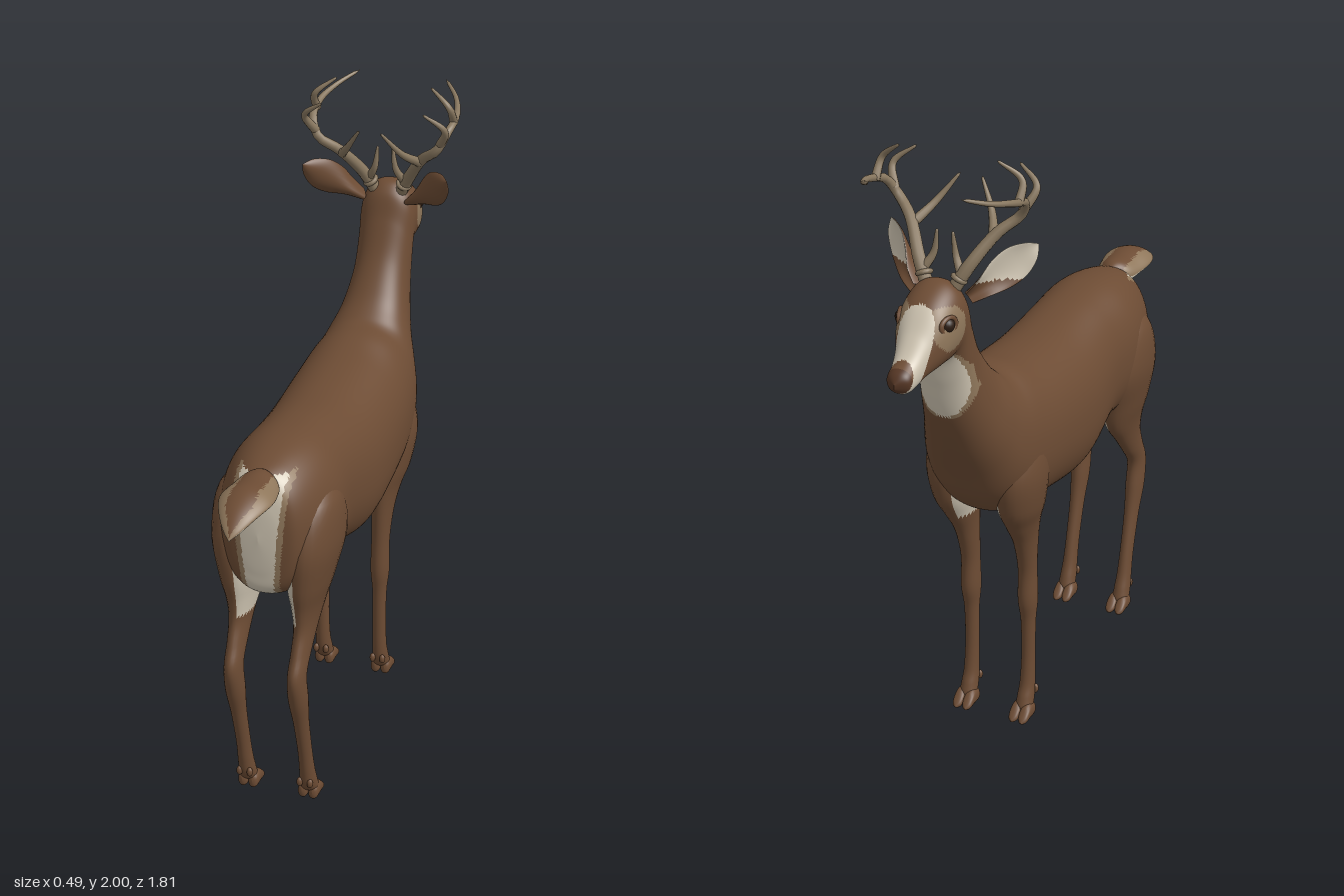
import * as THREE from 'three';

const mat = (name, color) => Object.assign(new THREE.MeshStandardMaterial({ color }), { name });
const V = (x, y, z) => new THREE.Vector3(x, y, z);

// Smooth interpolation through rows of numbers
function smoothRows(rows, n) {
  const out = [], last = rows.length - 1;
  for (let i = 0; i <= n; i++) {
    const f = (i / n) * last, k = Math.min(Math.floor(f), last - 1), t = f - k;
    const a = rows[Math.max(k - 1, 0)], b = rows[k], c = rows[k + 1], d = rows[Math.min(k + 2, last)];
    out.push(b.map((_, j) => 0.5 * (2 * b[j] + (c[j] - a[j]) * t +
      (2 * a[j] - 5 * b[j] + 4 * c[j] - d[j]) * t * t + (3 * b[j] - a[j] - 3 * c[j] + d[j]) * t ** 3)));
  }
  return out;
}

// Skin over closed rings of points; rule(centre, normal) picks the material of each face
function skin(name, rings, mats, rule = () => 0) {
  const m = rings[0].length, pts = rings.flat(), tris = [];
  for (let i = 0; i < rings.length - 1; i++) for (let j = 0; j < m; j++) {
    const a = i * m + j, b = i * m + (j + 1) % m;
    tris.push([a, b, b + m], [a, b + m, a + m]);
  }
  const cross = V(0, 0, 0);
  let volume = 0;
  for (const [a, b, c] of tris) volume += pts[a].dot(cross.crossVectors(pts[b], pts[c]));
  const bins = mats.map(() => []);
  for (const [a, b, c] of tris) {
    const t = volume > 0 ? [a, b, c] : [a, c, b];
    const [A, B, C] = t.map((k) => pts[k]);
    const n = B.clone().sub(A).cross(C.clone().sub(A));
    if (n.lengthSq() < 1e-18) continue;
    bins[rule(A.clone().add(B).add(C).divideScalar(3), n.normalize())].push(...t);
  }
  const geo = new THREE.BufferGeometry().setFromPoints(pts);
  geo.setIndex(bins.flat());
  let start = 0;
  bins.forEach((b, i) => { if (b.length) geo.addGroup(start, b.length, i); start += b.length; });
  geo.computeVertexNormals();
  const mesh = new THREE.Mesh(geo, mats);
  mesh.name = name;
  return mesh;
}

// Ring from centre and two half-axes; power < 1 squares it, cup bends the rim along v
function ring(c, u, v, m, power = 1, cup = 0) {
  const pw = (a) => Math.sign(a) * Math.abs(a) ** power;
  return Array.from({ length: m }, (_, j) => {
    const a = (j / m) * Math.PI * 2, k = Math.cos(a);
    return c.clone().addScaledVector(u, pw(k)).addScaledVector(v, pw(Math.sin(a)) + cup * k * k);
  });
}

// Rows are [top z, top y, bottom z, bottom y, half width]
const spineRings = (rows, n, m, power = 1, x = 0) => smoothRows(rows, n).map(([zt, yt, zb, yb, w]) =>
  ring(V(x, (yt + yb) / 2, (zt + zb) / 2), V(Math.max(w, 0), 0, 0), V(0, (yt - yb) / 2, (zt - zb) / 2), m, power));

// Rows are [y, x, z, half width, half depth]
const legRings = (rows, s) => smoothRows(rows, 70).map(([y, x, z, rx, rz]) =>
  ring(V(s * x, y, z), V(Math.max(rx, 0), 0, 0), V(0, 0, Math.max(rz, 0)), 28));

function horn(name, points, r0, r1, s, mats) {
  const curve = new THREE.CatmullRomCurve3(points.map(([x, y, z]) => V(s * x, y, z)));
  const n = 28, f = curve.computeFrenetFrames(n);
  const rings = [];
  for (let i = 0; i <= n; i++) {
    const t = i / n, r = i === n ? 0 : r0 + (r1 - r0) * t ** 1.3;
    rings.push(ring(curve.getPointAt(t), f.normals[i].clone().multiplyScalar(r), f.binormals[i].clone().multiplyScalar(r), 10));
  }
  return skin(name, rings, mats);
}

export function createModel() {
  const brown = mat('brown coat', 0x6d4c34), cream = mat('cream fur', 0xcfc5b2), tan = mat('tan fur', 0x8f775b);
  const antler = mat('antler', 0x88775f), dark = mat('dark hoof', 0x3a281c), eyeMat = mat('eye', 0x2c1d14);
  const nose = mat('nose', 0x553624);
  const fur = [brown, cream, tan, nose];
  const model = new THREE.Group();
  model.name = 'deer';

  // Patch test: cream inside, tan rim, otherwise no hit
  const patch = (d, rim) => (d < 0 ? 1 : d < rim ? 2 : 0);
  const bodyRule = (p, n) => {
    const ax = Math.abs(p.x);
    if (p.z < -0.64 && p.y > 1.36) {
      const m = p.z - 0.5 * (p.y - 1.53);
      if (n.y < -0.6 && p.z > -0.87 && p.y < 1.42) return 1;
      if (m < -0.815) return p.z < -0.868 ? 3 : 0;
      if (m < -0.765) return 1;
      if (ax > 0.035 && Math.hypot(p.z + 0.705, p.y - 1.53) < 0.066) return 2;
    }
    if (p.z < -0.52 && p.z > -0.69 && n.z < -0.15) {
      const e = 1 - ((p.y - 1.32) / 0.125) ** 2;
      if (e > 0) return patch(ax - 0.085 * Math.sqrt(e), 0.014);
    }
    if (p.z > 0.5 && p.y < 1.2) return patch(ax - (0.04 + 0.035 * Math.max(0, (p.y - 0.8) / 0.4)), 0.016);
    if (p.z > -0.36 && n.y < 0) return patch(p.y - (p.z > 0.28 ? 0.8 : 0.757), 0.012);
    return 0;
  };

  // Trunk, neck and head as one skin
  model.add(skin('bodyNeckAndHead', spineRings([
    [0.665, 1.01, 0.665, 1.0, 0], [0.657, 1.12, 0.655, 0.88, 0.07], [0.63, 1.195, 0.635, 0.81, 0.12],
    [0.55, 1.228, 0.55, 0.77, 0.162], [0.43, 1.242, 0.43, 0.765, 0.185], [0.28, 1.232, 0.28, 0.765, 0.182],
    [0.07, 1.21, 0.07, 0.705, 0.2], [-0.16, 1.222, -0.17, 0.733, 0.2], [-0.28, 1.245, -0.35, 0.765, 0.188],
    [-0.345, 1.252, -0.44, 0.835, 0.172], [-0.385, 1.275, -0.5, 0.95, 0.148], [-0.435, 1.325, -0.56, 1.07, 0.118],
    [-0.5, 1.42, -0.61, 1.19, 0.096], [-0.55, 1.53, -0.633, 1.31, 0.09], [-0.585, 1.615, -0.648, 1.395, 0.091],
    [-0.64, 1.645, -0.685, 1.4, 0.093], [-0.725, 1.605, -0.74, 1.4, 0.083], [-0.79, 1.53, -0.79, 1.392, 0.056],
    [-0.84, 1.477, -0.835, 1.382, 0.044], [-0.885, 1.45, -0.875, 1.384, 0.036], [-0.905, 1.422, -0.905, 1.41, 0],
  ], 200, 80, 0.9), fur, bodyRule));

  // Tail: brown stripe above, cream below
  model.add(skin('tail', spineRings([
    [0.59, 1.2, 0.59, 1.17, 0], [0.63, 1.222, 0.63, 1.15, 0.055], [0.69, 1.222, 0.69, 1.172, 0.074],
    [0.76, 1.225, 0.76, 1.187, 0.08], [0.83, 1.2, 0.825, 1.17, 0.058], [0.88, 1.162, 0.875, 1.142, 0.028],
    [0.905, 1.13, 0.905, 1.127, 0],
  ], 40, 40).map((r) => r.map((p) => V(p.x, p.y - 3.5 * p.x * p.x, p.z))), fur,
  (p, n) => (n.y < 0.05 ? 1 : Math.abs(p.x) < 0.04 * Math.min(1, (0.9 - p.z) / 0.08) ? 0 : 2)));

  const frontRows = [
    [1.1, 0.1, -0.31, 0, 0], [1.04, 0.105, -0.31, 0.065, 0.075], [0.92, 0.113, -0.32, 0.08, 0.115],
    [0.8, 0.11, -0.31, 0.068, 0.108], [0.72, 0.105, -0.287, 0.048, 0.083], [0.64, 0.102, -0.262, 0.036, 0.055],
    [0.53, 0.1, -0.245, 0.03, 0.036], [0.42, 0.1, -0.243, 0.031, 0.038], [0.34, 0.1, -0.24, 0.024, 0.027],
    [0.22, 0.1, -0.24, 0.022, 0.024], [0.12, 0.1, -0.246, 0.024, 0.027], [0.07, 0.1, -0.258, 0.027, 0.032],
    [0.035, 0.1, -0.272, 0.026, 0.026], [0.02, 0.1, -0.275, 0, 0],
  ];
  const hindRows = [
    [1.15, 0.1, 0.47, 0, 0], [1.08, 0.11, 0.47, 0.072, 0.11], [0.95, 0.116, 0.465, 0.084, 0.168],
    [0.82, 0.108, 0.485, 0.068, 0.142], [0.73, 0.104, 0.495, 0.047, 0.112], [0.66, 0.104, 0.525, 0.034, 0.078],
    [0.59, 0.103, 0.57, 0.029, 0.06], [0.52, 0.102, 0.612, 0.028, 0.048], [0.43, 0.102, 0.602, 0.03, 0.042],
    [0.33, 0.102, 0.576, 0.024, 0.032], [0.2, 0.102, 0.541, 0.022, 0.029], [0.12, 0.102, 0.522, 0.024, 0.03],
    [0.07, 0.102, 0.507, 0.027, 0.033], [0.035, 0.102, 0.492, 0.026, 0.026], [0.02, 0.102, 0.49, 0, 0],
  ];
  const legCoat = [brown, cream, dark];
  for (const s of [1, -1]) {
    const side = s > 0 ? 'left' : 'right';
    // Legs, with cream on the inner upper thigh
    for (const [name, rows, heel, claw] of [['FrontLeg', frontRows, -0.245, -0.222], ['HindLeg', hindRows, 0.52, 0.54]]) {
      model.add(skin(side + name, legRings(rows, s), legCoat, (p, n) =>
        (s * n.x < -0.55 && p.y > 0.68 && (name === 'HindLeg' || p.y > 0.72) ? 1 : 0)));
      for (const k of [-1, 1]) {
        // Split hoof and dewclaws
        const x = s * 0.1 + k * 0.017;
        model.add(skin(side + name + 'Hoof', spineRings([
          [heel, 0.03, heel, 0.025, 0], [heel - 0.01, 0.05, heel - 0.006, 0.003, 0.015],
          [heel - 0.045, 0.052, heel - 0.045, 0.002, 0.018], [heel - 0.075, 0.026, heel - 0.078, 0.001, 0.015],
          [heel - 0.09, 0.008, heel - 0.09, 0.004, 0],
        ], 16, 16, 0.85, x), legCoat, (p, n) => (n.y < -0.5 ? 2 : 0)));
        const c = new THREE.Mesh(new THREE.SphereGeometry(0.01, 10, 8), brown);
        c.name = side + name + 'Dewclaw';
        c.scale.y = 1.6;
        c.position.set(x, 0.078, claw);
        model.add(c);
      }
    }

    // Cupped ear with cream lining
    const base = V(s * 0.075, 1.59, -0.59), axis = V(s * 0.165, 0.14, 0.13);
    const face = V(s * 0.56, 0.05, -0.8).normalize();
    const across = axis.clone().cross(face).normalize();
    const ear = smoothRows([[0, 0.018, 0.016], [0.2, 0.03, 0.018], [0.45, 0.05, 0.012], [0.68, 0.052, 0.008],
      [0.88, 0.031, 0.006], [1, 0, 0]], 30).map(([t, w, d]) => ring(base.clone().addScaledVector(axis, t),
      across.clone().multiplyScalar(Math.max(w, 0)), face.clone().multiplyScalar(Math.max(d, 0)), 28, 1, 1.8));
    model.add(skin(side + 'Ear', ear, fur, (p, n) => (n.dot(face) > 0.15 && p.y > 1.635 ? 1 : 0)));

    // Eye with lid
    const eye = new THREE.Mesh(new THREE.SphereGeometry(0.023, 18, 14), eyeMat);
    eye.name = side + 'Eye';
    eye.position.set(s * 0.071, 1.545, -0.713);
    const lid = new THREE.Mesh(new THREE.TorusGeometry(0.023, 0.007, 8, 24), brown);
    lid.name = side + 'Eyelid';
    lid.position.set(s * 0.077, 1.545, -0.715);
    lid.rotation.y = s * (Math.PI / 2 + 0.3);
    lid.scale.x = 1.25;
    model.add(eye, lid);

    // Antler: forward-sweeping beam with four tines
    const rack = new THREE.Group();
    rack.name = side + 'Antler';
    rack.add(
      horn('beam', [[0.042, 1.61, -0.615], [0.08, 1.68, -0.59], [0.14, 1.77, -0.525], [0.197, 1.82, -0.49],
        [0.222, 1.87, -0.515], [0.228, 1.9, -0.6], [0.2, 1.925, -0.69], [0.145, 1.955, -0.765]], 0.021, 0.005, s, [antler]),
      horn('browTine', [[0.06, 1.655, -0.6], [0.036, 1.7, -0.582], [0.025, 1.775, -0.58]], 0.014, 0.004, s, [antler]),
      horn('innerTine', [[0.13, 1.755, -0.53], [0.09, 1.805, -0.46], [0.035, 1.885, -0.41]], 0.015, 0.004, s, [antler]),
      horn('rearTine', [[0.205, 1.835, -0.495], [0.23, 1.9, -0.455], [0.165, 1.955, -0.43]], 0.015, 0.004, s, [antler]),
      horn('upperTine', [[0.228, 1.885, -0.57], [0.222, 1.945, -0.535], [0.155, 2.0, -0.555]], 0.014, 0.004, s, [antler]));
    const burr = new THREE.Mesh(new THREE.TorusGeometry(0.019, 0.008, 8, 18), antler);
    burr.name = 'burr';
    burr.position.set(s * 0.056, 1.643, -0.605);
    burr.rotation.set(-1.2, s * 0.4, 0);
    rack.add(burr);
    model.add(rack);
  }
  return model;
}
